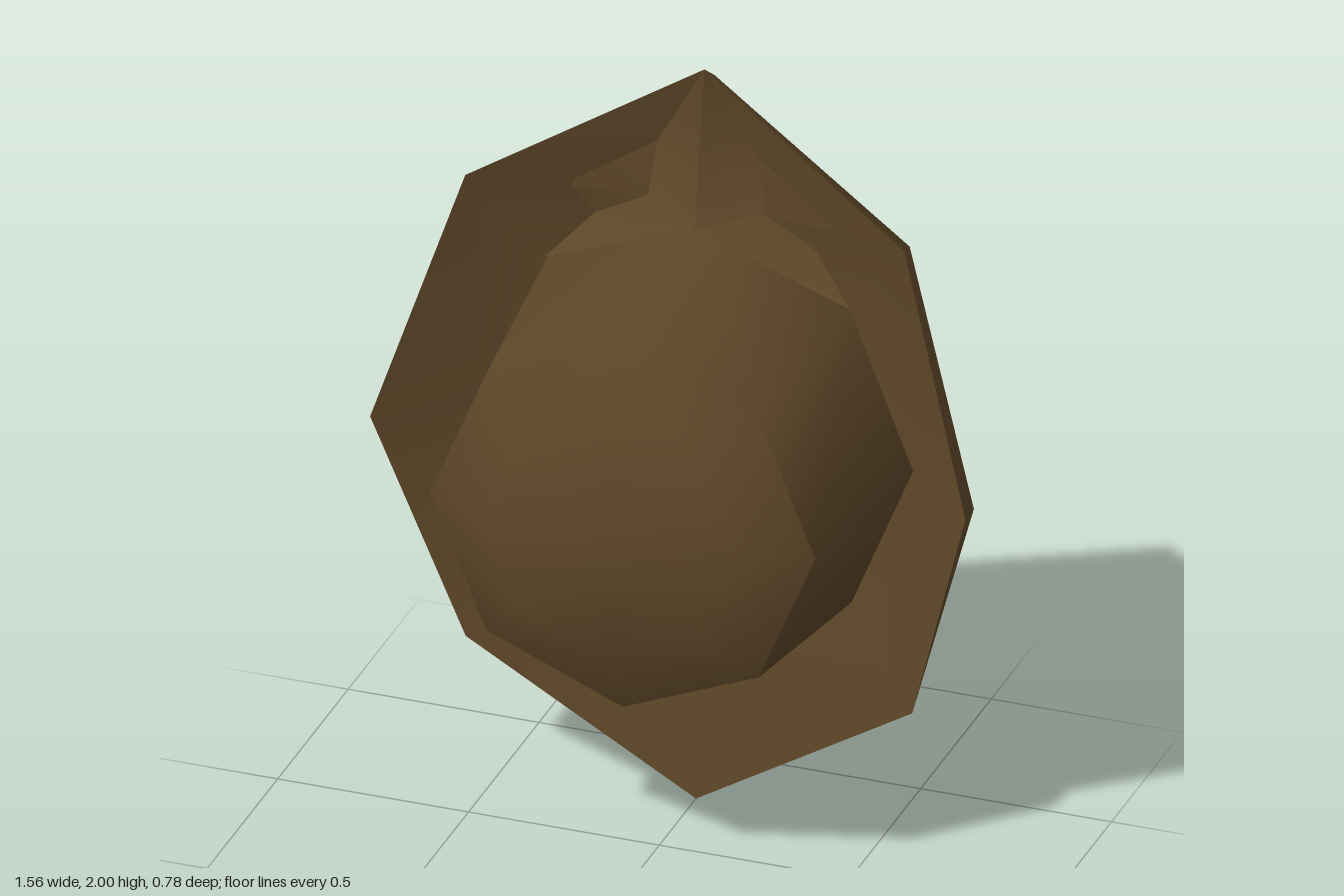
import * as THREE from 'three';
import { toCreasedNormals } from 'three/addons/utils/BufferGeometryUtils.js';

// Mirror a half outline (top to bottom, +x side) into a closed eight-point ring
function ring(half) {
  const left = half.map(([x, y, z]) => [-x, y, z]);
  return [...left, ...half.slice(1, -1).reverse()];
}

// Regular eight-sided ring around the crown axis
function octagon(radius, z) {
  return Array.from({ length: 8 }, (_, i) => {
    const a = Math.PI / 2 + i * Math.PI / 4;
    return [radius * Math.cos(a), 1.02 + radius * Math.sin(a), z];
  });
}

// Join rings with faces, keeping the diagonals mirrored left and right
function loft(rings, skip = () => false) {
  const tris = [];
  for (let r = 0; r < rings.length - 1; r++) {
    const A = rings[r], B = rings[r + 1];
    for (let i = 0; i < 8; i++) {
      if (skip(r, i)) continue;
      const j = (i + 1) % 8;
      if (i < 4) tris.push([A[i], A[j], B[j]], [A[i], B[j], B[i]]);
      else tris.push([A[i], A[j], B[i]], [A[j], B[j], B[i]]);
    }
  }
  return tris;
}

function makeMesh(name, tris, material, crease) {
  const solid = tris.filter(([a, b, c]) => {
    const same = (p, q) => p.every((v, k) => Math.abs(v - q[k]) < 1e-6);
    return !same(a, b) && !same(b, c) && !same(c, a);
  });
  const geo = new THREE.BufferGeometry();
  geo.setAttribute('position', new THREE.Float32BufferAttribute(solid.flat(2), 3));
  const mesh = new THREE.Mesh(toCreasedNormals(geo, crease), material);
  mesh.name = name;
  return mesh;
}

export function createModel() {
  const group = new THREE.Group();
  group.name = 'hat';
  const brown = new THREE.MeshStandardMaterial({ color: 0x5e4728, side: THREE.DoubleSide });
  brown.name = 'brown felt';

  // Rings of the brim, from the middle of the back round the edge to the front
  const base = ring([[0, 1.6, -0.36], [0.4, 1.43, -0.335], [0.573, 1.01, -0.335], [0.4, 0.6, -0.335], [0, 0.43, -0.39]]);
  const backEdge = ring([[0, 1.95, -0.39], [0.56, 1.64, -0.26], [0.78, 1.02, -0.12], [0.57, 0.39, -0.28], [0, 0.04, -0.335]]);
  const frontEdge = ring([[0, 2, -0.32], [0.575, 1.67, -0.18], [0.78, 1.02, -0.06], [0.585, 0.37, -0.21], [0, 0, -0.26]]);
  const inner = ring([[0, 1.59, -0.25], [0.4, 1.43, -0.27], [0.565, 1.01, -0.27], [0.4, 0.61, -0.28], [0, 0.44, -0.32]]);
  const centre = octagon(0, -0.335);
  const brim = loft([centre, base, backEdge, frontEdge, inner], (r, i) => r === 3 && (i === 0 || i === 7));

  // Raised fold at the top of the brim, pinched on either side
  for (const i of [0, 7]) {
    const j = (i + 1) % 8;
    const pinch = [i === 0 ? -0.21 : 0.21, 1.63, -0.365];
    const loop = [frontEdge[i], frontEdge[j], inner[j], inner[i]];
    loop.forEach((p, k) => brim.push([p, loop[(k + 1) % 4], pinch]));
  }
  group.add(makeMesh('brim', brim, brown, 0.9));

  // Crown: tapered wall, bevelled rim and shallow dome
  const crown = loft([base, octagon(0.505, 0.26), octagon(0.337, 0.35), octagon(0, 0.39)]);
  group.add(makeMesh('crown', crown, brown, 0.9));

  return group;
}
